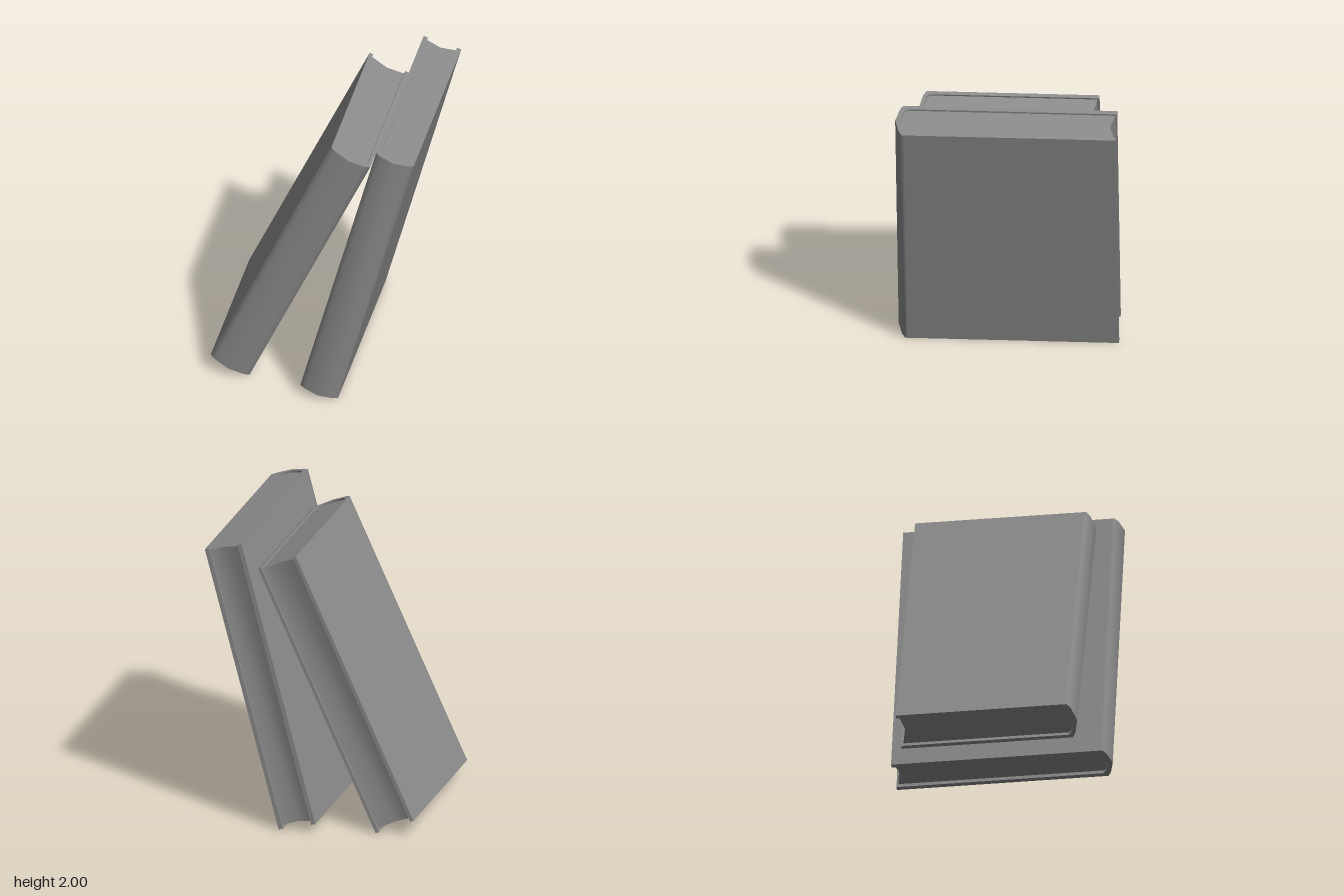
import * as THREE from 'three';
import { toCreasedNormals } from 'three/addons/utils/BufferGeometryUtils.js';

const material = new THREE.MeshStandardMaterial({ color: 0x8b8b8b });

// Upright prism from a plan outline given as [x, z] points, standing from y0 to y1
function prism(name, outline, y0, y1) {
  const shape = new THREE.Shape(outline.map(([x, z]) => new THREE.Vector2(x, -z)));
  const geometry = new THREE.ExtrudeGeometry(shape, { depth: y1 - y0, bevelEnabled: false });
  geometry.rotateX(-Math.PI / 2).translate(0, y0, 0);
  const mesh = new THREE.Mesh(toCreasedNormals(geometry, 1.05), material);
  mesh.name = name;
  return mesh;
}

// Faceted, rounded spine line from left to right; the end points keep the boards flat
const spineLine = (half, z, chamfer) => [
  [-half, z - 0.065],
  [-half, z - 0.05],
  [-half + chamfer, z - 0.027],
  [0, z],
  [half - chamfer, z - 0.027],
  [half, z - 0.05],
  [half, z - 0.065],
];

function createBook(name, { width, height, board, front, back, x, y, lean }) {
  const book = new THREE.Group();
  book.name = name;
  const half = width / 2;
  const inner = half - board;

  // U-shaped cover: two boards joined by the spine
  const cover = [
    [-half, back],
    ...spineLine(half, front, 0.035),
    [half, back],
    [inner, back],
    ...spineLine(inner, front - board, 0.02).reverse(),
    [-inner, back],
  ];
  book.add(prism('cover', cover, 0, height));

  // Page block with a hollow fore edge, set in from the cover at both ends
  const pages = [
    [-inner, back + 0.012],
    ...spineLine(inner, front - board, 0.02),
    [inner, back + 0.012],
    [0, back + 0.042],
  ];
  book.add(prism('pages', pages, 0.025, height - 0.014));

  book.position.set(x, y, 0);
  book.rotation.z = -THREE.MathUtils.degToRad(lean);
  return book;
}

export function createModel() {
  const model = new THREE.Group();
  model.name = 'leaningBooks';
  model.add(
    createBook('smallBook', {
      width: 0.29, height: 1.96, board: 0.025, front: 0.595, back: -0.6,
      x: -0.575, y: 0.061, lean: 24.7,
    }),
    createBook('largeBook', {
      width: 0.264, height: 1.998, board: 0.03, front: 0.733, back: -0.733,
      x: 0.061, y: 0.034, lean: 14.9,
    }),
  );
  return model;
}
